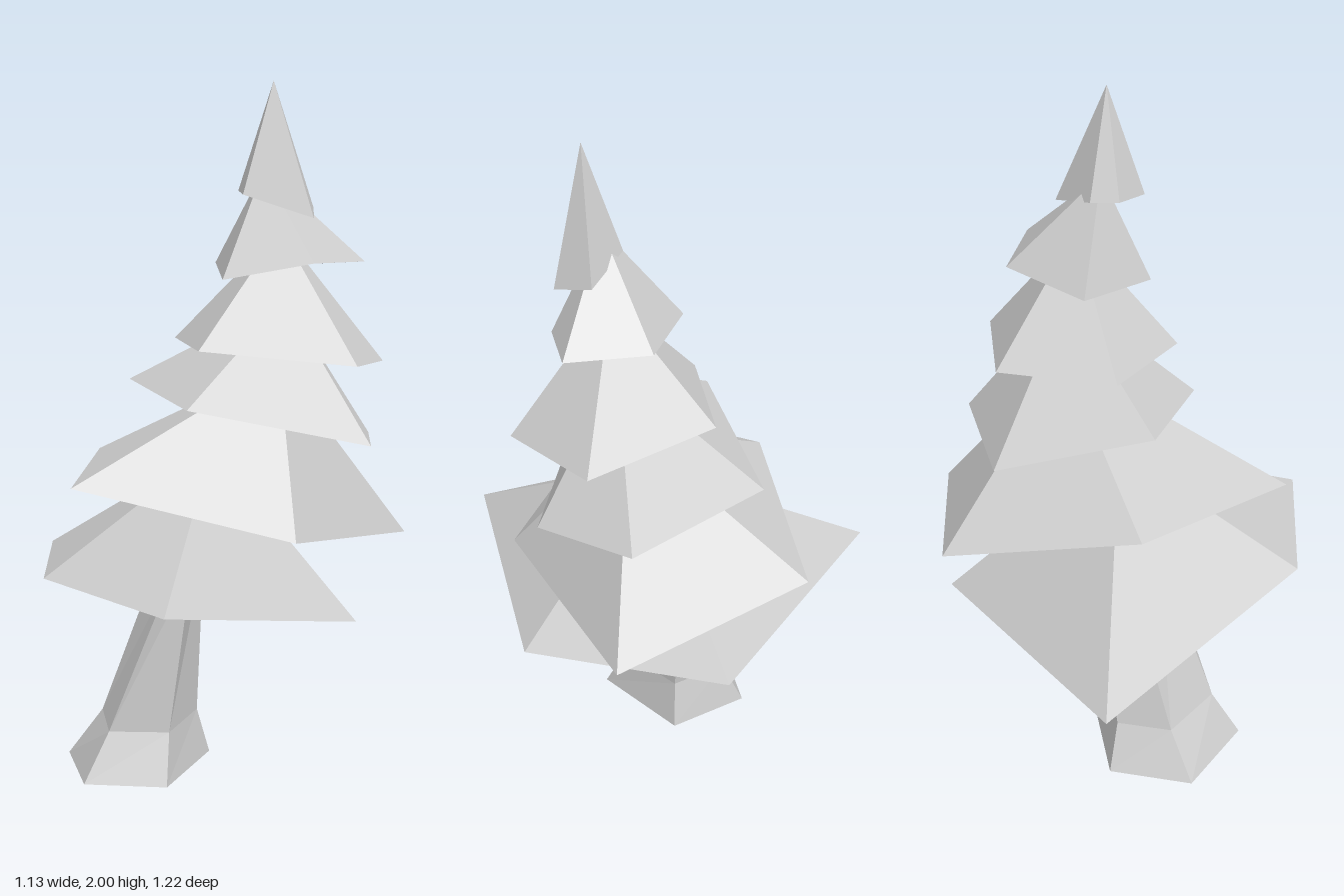
import * as THREE from 'three';

const material = new THREE.MeshStandardMaterial({ color: 0xcccccc, flatShading: true });

// Joins five-sided rings from bottom to top, closing both ends with fans.
// Ring corners run front, left, back, right.
function loft(name, rings, top) {
  const pos = [];
  const tri = (a, b, c) => pos.push(...a, ...b, ...c);
  const n = rings[0].length;
  const base = [0, 1, 2].map(k => rings[0].reduce((s, p) => s + p[k], 0) / n);
  for (let i = 0; i < n; i++) {
    const j = (i + 1) % n;
    tri(base, rings[0][j], rings[0][i]);
    for (let r = 0; r + 1 < rings.length; r++) {
      const lo = rings[r], hi = rings[r + 1];
      tri(lo[i], lo[j], hi[j]);
      tri(lo[i], hi[j], hi[i]);
    }
    const last = rings[rings.length - 1];
    tri(last[i], last[j], top);
  }
  const geo = new THREE.BufferGeometry();
  geo.setAttribute('position', new THREE.Float32BufferAttribute(pos, 3));
  geo.computeVertexNormals();
  const mesh = new THREE.Mesh(geo, material);
  mesh.name = name;
  return mesh;
}

// Horizontal ring from x, z pairs
const level = (y, pts) => pts.map(([x, z]) => [x, y, z]);

// Drooping, irregular foliage skirts: tip and five rim corners
const tiers = [
  { tip: [-0.05, 0.96, 0], rim: [[-0.3, 0.62, 0.605], [0.31, 0.49, 0.28], [0.33, 0.5, -0.34], [-0.455, 0.565, -0.61], [-0.565, 0.64, 0.19]] },
  { tip: [0.15, 1.2, 0], rim: [[0.11, 0.745, 0.365], [0.565, 0.665, -0.07], [0.18, 0.79, -0.53], [-0.34, 0.92, -0.29], [-0.49, 0.895, 0.22]] },
  { tip: [0.16, 1.39, 0.03], rim: [[0.37, 0.98, 0.205], [0.45, 0.975, -0.085], [0.105, 1.03, -0.38], [-0.27, 1.15, -0.135], [-0.165, 1.1, 0.215]] },
  { tip: [0.14, 1.59, 0.05], rim: [[0.3, 1.22, 0.295], [0.455, 1.205, 0.035], [0.19, 1.26, -0.255], [-0.135, 1.27, -0.125], [-0.125, 1.26, 0.18]] },
  { tip: [0.08, 1.76, 0.09], rim: [[0.2, 1.5, 0.2], [0.37, 1.5, 0.12], [0.27, 1.5, -0.1], [-0.015, 1.49, -0.115], [-0.05, 1.455, 0.15]] },
  { tip: [0.097, 2, 0.138], rim: [[0.2, 1.625, 0.19], [0.23, 1.65, 0.077], [0.075, 1.7, 0.032], [0.01, 1.7, 0.08], [0, 1.69, 0.185]] },
];

export function createModel() {
  const tree = new THREE.Group();
  tree.name = 'tree';

  // Leaning trunk with a flared foot
  tree.add(loft('trunk', [
    level(0, [[-0.22, 0.175], [-0.04, -0.1], [-0.23, -0.285], [-0.46, -0.18], [-0.45, 0.1]]),
    level(0.14, [[-0.2, 0.105], [-0.08, -0.09], [-0.21, -0.22], [-0.36, -0.15], [-0.37, 0.06]]),
    level(0.62, [[-0.13, 0.095], [-0.05, -0.125], [-0.1, -0.185], [-0.18, -0.13], [-0.165, 0.04]]),
  ], [-0.12, 0.62, -0.05]));

  // Foliage, lowest tier first
  tiers.forEach(({ tip, rim }, i) => tree.add(loft(`foliageTier${i + 1}`, [rim], tip)));
  return tree;
}
